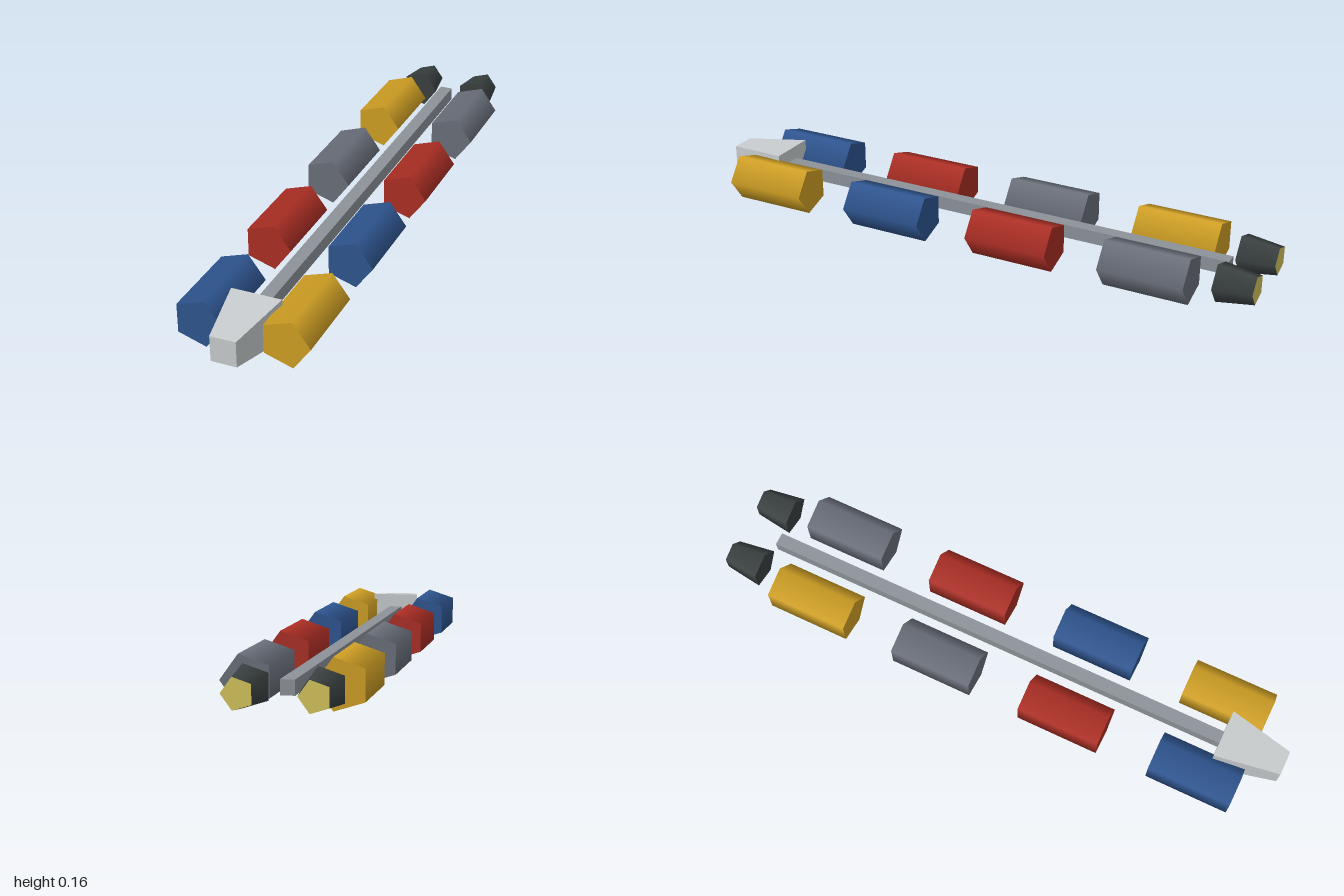
import * as THREE from 'three';

const CENTRE_X = -0.0085; // the hull's centre line
const CENTRE_Y = 0.082;

function material(name, color) {
  const m = new THREE.MeshStandardMaterial({ color });
  m.name = name;
  return m;
}

// Five-sided tube lying along z, one corner pointing to +x
function pentagonTube(frontRadius, backRadius, length) {
  return new THREE.CylinderGeometry(frontRadius, backRadius, length, 5)
    .rotateX(Math.PI / 2)
    .rotateZ(Math.PI / 2);
}

export function createModel() {
  const yellow = material('yellow', 0xd0a024);
  const blue = material('blue', 0x2e5590);
  const red = material('red', 0xac2e24);
  const podGrey = material('podGrey', 0x6a6f7a);
  const spineGrey = material('spineGrey', 0x8c9299);
  const noseGrey = material('noseGrey', 0xc8ccce);
  const engineDark = material('engineDark', 0x3a4040);
  const engineGlow = material('engineGlow', 0xd4c45c);

  const model = new THREE.Group();
  model.name = 'cargoShip';

  function add(name, geometry, mat, x, y, z) {
    const mesh = new THREE.Mesh(geometry, mat);
    mesh.name = name;
    mesh.position.set(CENTRE_X + x, CENTRE_Y + y, z);
    model.add(mesh);
  }

  // Long square spine
  add('spine', new THREE.BoxGeometry(0.044, 0.046, 1.66), spineGrey, 0, 0, -0.045);

  // Nose: a box narrowing towards the front
  const nose = new THREE.BoxGeometry(0.167, 0.14, 0.22);
  const p = nose.attributes.position;
  for (let i = 0; i < p.count; i++) {
    if (p.getZ(i) > 0) p.setXY(i, p.getX(i) * 0.503, p.getY(i) * 0.614 + 0.006);
  }
  nose.computeVertexNormals();
  add('nose', nose, noseGrey, 0, 0, 0.89);

  // Cargo pods: four rows, front to back, on both sides
  const pod = pentagonTube(0.083, 0.083, 0.287);
  const rows = [
    [yellow, blue],
    [blue, red],
    [red, podGrey],
    [podGrey, yellow],
  ];
  rows.forEach(([leftMat, rightMat], i) => {
    const z = 0.747 - i * 0.468;
    add(`leftPod${i + 1}`, pod, leftMat, 0.1405, 0, z);
    add(`rightPod${i + 1}`, pod, rightMat, -0.1405, 0, z);
  });

  // Twin tapered engines with glowing rear faces
  const engine = pentagonTube(0.068, 0.05, 0.125);
  const engineMats = [engineDark, engineDark, engineGlow];
  add('leftEngine', engine, engineMats, 0.11, 0, -0.9375);
  add('rightEngine', engine, engineMats, -0.11, 0, -0.9375);

  return model;
}
